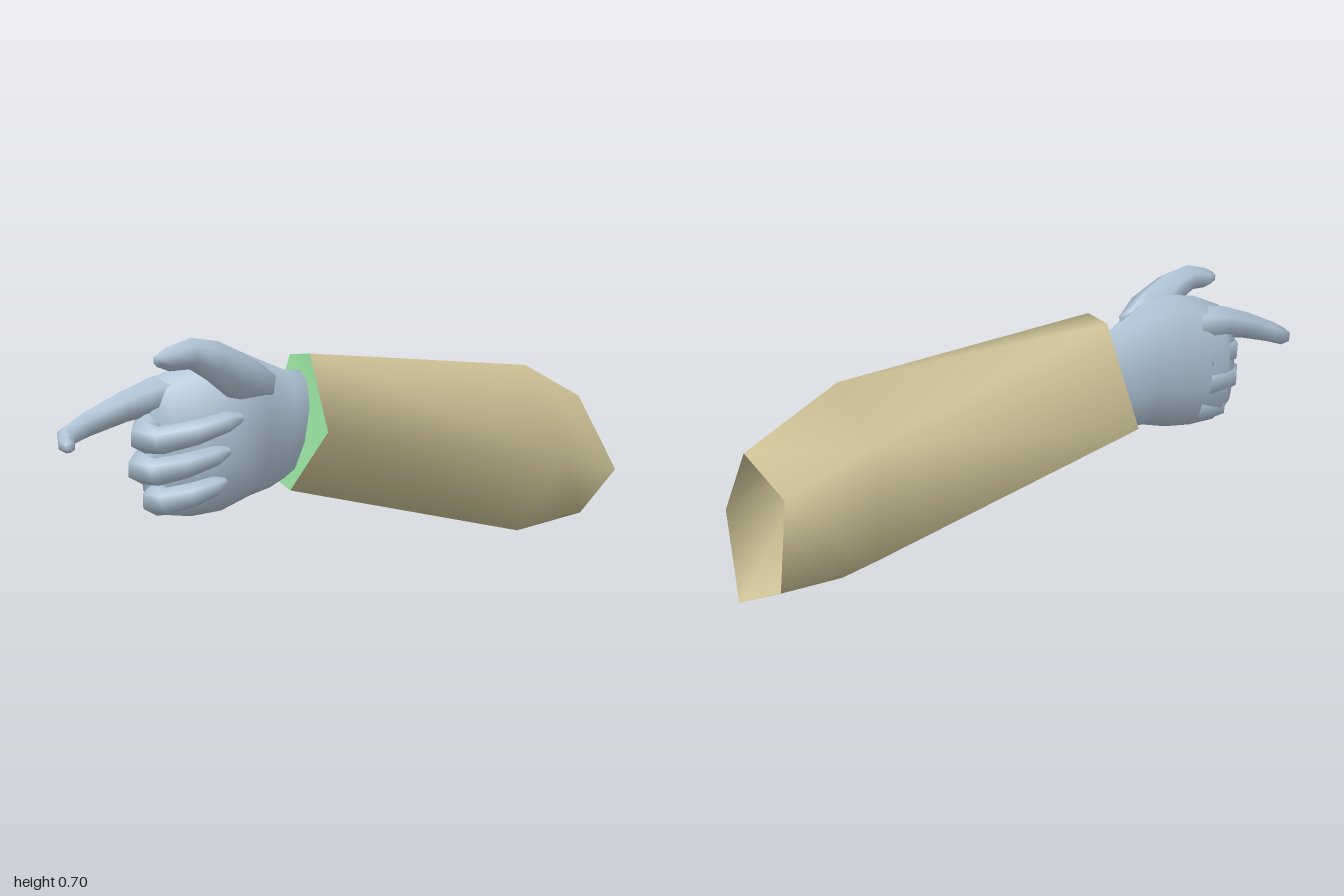
import * as THREE from 'three';

const V = (p) => new THREE.Vector3(...p);

// Skin a list of equal-length rings, optionally closing both ends
function loft(rings, capped) {
  const n = rings[0].length, m = rings.length;
  const pos = rings.flat().flatMap((p) => [p.x, p.y, p.z]);
  const idx = [];
  for (let i = 0; i < m - 1; i++) {
    for (let j = 0; j < n; j++) {
      const a = i * n + j, b = i * n + (j + 1) % n;
      idx.push(a, b, b + n, a, b + n, a + n);
    }
  }
  if (capped) {
    [0, m - 1].forEach((r, e) => {
      const c = new THREE.Vector3();
      rings[r].forEach((p) => c.addScaledVector(p, 1 / n));
      const k = pos.length / 3;
      pos.push(c.x, c.y, c.z);
      for (let j = 0; j < n; j++) {
        const a = r * n + j, b = r * n + (j + 1) % n;
        if (e) idx.push(k, a, b); else idx.push(k, b, a);
      }
    });
  }
  const g = new THREE.BufferGeometry();
  g.setAttribute('position', new THREE.Float32BufferAttribute(pos, 3));
  g.setIndex(idx);
  g.computeVertexNormals();
  return g;
}

// Finger: path points [x, y, z, radius] with six-sided sections
function finger(path) {
  const pts = path.map(V);
  const up = new THREE.Vector3(0, 1, 0);
  const rings = pts.map((p, i) => {
    const t = pts[Math.min(i + 1, pts.length - 1)].clone().sub(pts[Math.max(i - 1, 0)]).normalize();
    const side = up.clone().cross(t).normalize();
    const top = t.clone().cross(side);
    return Array.from({ length: 6 }, (_, j) => {
      const a = (j / 6) * Math.PI * 2 + Math.PI / 6;
      return p.clone().addScaledVector(side, Math.cos(a) * path[i][3])
        .addScaledVector(top, Math.sin(a) * path[i][3]);
    });
  });
  return loft(rings, true);
}

export function createModel() {
  const group = new THREE.Group();
  const sleeveMat = new THREE.MeshStandardMaterial({ color: 0xd0c498, side: THREE.DoubleSide });
  sleeveMat.name = 'tan cloth';
  const liningMat = new THREE.MeshStandardMaterial({ color: 0x98e0a0, side: THREE.DoubleSide });
  liningMat.name = 'green lining';
  const handMat = new THREE.MeshStandardMaterial({ color: 0xb0c4d6 });
  handMat.name = 'pale blue glove';
  const add = (name, geo, mat) => {
    const mesh = new THREE.Mesh(geo, mat);
    mesh.name = name;
    group.add(mesh);
  };

  // Five-sided sleeve, open at the back
  const back = [[-0.205, 0.37, -0.92], [-0.21, 0.113, -0.95], [-0.03, 0.02, -1], [0.183, 0.205, -0.94], [0.01, 0.435, -0.94]].map(V);
  const elbow = [[-0.155, 0.44, -0.64], [-0.245, 0.152, -0.68], [-0.008, 0, -0.68], [0.242, 0.275, -0.64], [0.07, 0.56, -0.63]].map(V);
  const cuff = [[-0.06, 0.627, 0.2], [-0.137, 0.3, 0.27], [0.03, 0.24, 0.265], [0.155, 0.42, 0.22], [0.04, 0.635, 0.2]].map(V);
  add('sleeve', loft([back, elbow, cuff], false), sleeveMat);

  // Lining that closes the cuff around the wrist
  const lining = new THREE.BufferGeometry().setFromPoints(cuff);
  lining.setIndex([0, 1, 2, 0, 2, 3, 0, 3, 4]);
  lining.computeVertexNormals();
  add('cuffLining', lining, liningMat);

  // Wrist and palm: z, left, right, bottom, top of each section
  const sections = [
    [0.17, -0.07, 0.06, 0.3, 0.585],
    [0.28, -0.08, 0.07, 0.25, 0.585],
    [0.4, -0.086, 0.125, 0.238, 0.64],
    [0.5, -0.083, 0.14, 0.208, 0.65],
    [0.59, -0.078, 0.11, 0.2, 0.635],
    [0.67, -0.07, 0.06, 0.21, 0.6],
    [0.71, -0.055, 0.03, 0.25, 0.56],
  ];
  const palm = sections.map(([z, x0, x1, y0, y1]) => Array.from({ length: 10 }, (_, j) => {
    const a = (j / 10) * Math.PI * 2 + Math.PI / 2;
    const c = Math.cos(a), s = Math.sin(a);
    // the wrist end leans forward at the bottom, like the cuff
    const lean = z < 0.3 ? -0.03 * s : 0;
    return new THREE.Vector3((x0 + x1) / 2 + c * (x1 - x0) / 2, (y0 + y1) / 2 + s * (y1 - y0) / 2, z + lean);
  }));
  add('palm', loft(palm, true), handMat);

  // Raised thumb, pointing index and three curled fingers
  const fingers = {
    thumb: [[0.06, 0.56, 0.38, 0.05], [0.1, 0.585, 0.48, 0.07], [0.12, 0.64, 0.58, 0.055],
      [0.123, 0.662, 0.65, 0.042], [0.125, 0.65, 0.72, 0.032], [0.128, 0.648, 0.755, 0.016]],
    indexFinger: [[-0.005, 0.55, 0.58, 0.06], [-0.015, 0.542, 0.68, 0.052], [-0.015, 0.515, 0.78, 0.042],
      [-0.018, 0.475, 0.89, 0.033], [-0.012, 0.448, 0.95, 0.028], [0.03, 0.434, 0.97, 0.023], [0.062, 0.432, 0.975, 0.014]],
    middleFinger: [[-0.025, 0.45, 0.6, 0.055], [-0.015, 0.45, 0.7, 0.052], [0.04, 0.435, 0.745, 0.043],
      [0.11, 0.435, 0.735, 0.037], [0.16, 0.455, 0.66, 0.034], [0.18, 0.48, 0.57, 0.028], [0.182, 0.488, 0.53, 0.014]],
    ringFinger: [[-0.03, 0.36, 0.6, 0.055], [-0.02, 0.36, 0.7, 0.05], [0.03, 0.35, 0.75, 0.042],
      [0.1, 0.35, 0.745, 0.037], [0.138, 0.365, 0.68, 0.034], [0.148, 0.385, 0.59, 0.028], [0.148, 0.395, 0.55, 0.014]],
    littleFinger: [[-0.01, 0.27, 0.58, 0.052], [-0.005, 0.265, 0.67, 0.05], [0.035, 0.26, 0.71, 0.042],
      [0.085, 0.265, 0.71, 0.036], [0.118, 0.28, 0.65, 0.034], [0.13, 0.3, 0.58, 0.027], [0.13, 0.308, 0.55, 0.014]],
  };
  for (const [name, path] of Object.entries(fingers)) add(name, finger(path), handMat);

  return group;
}
